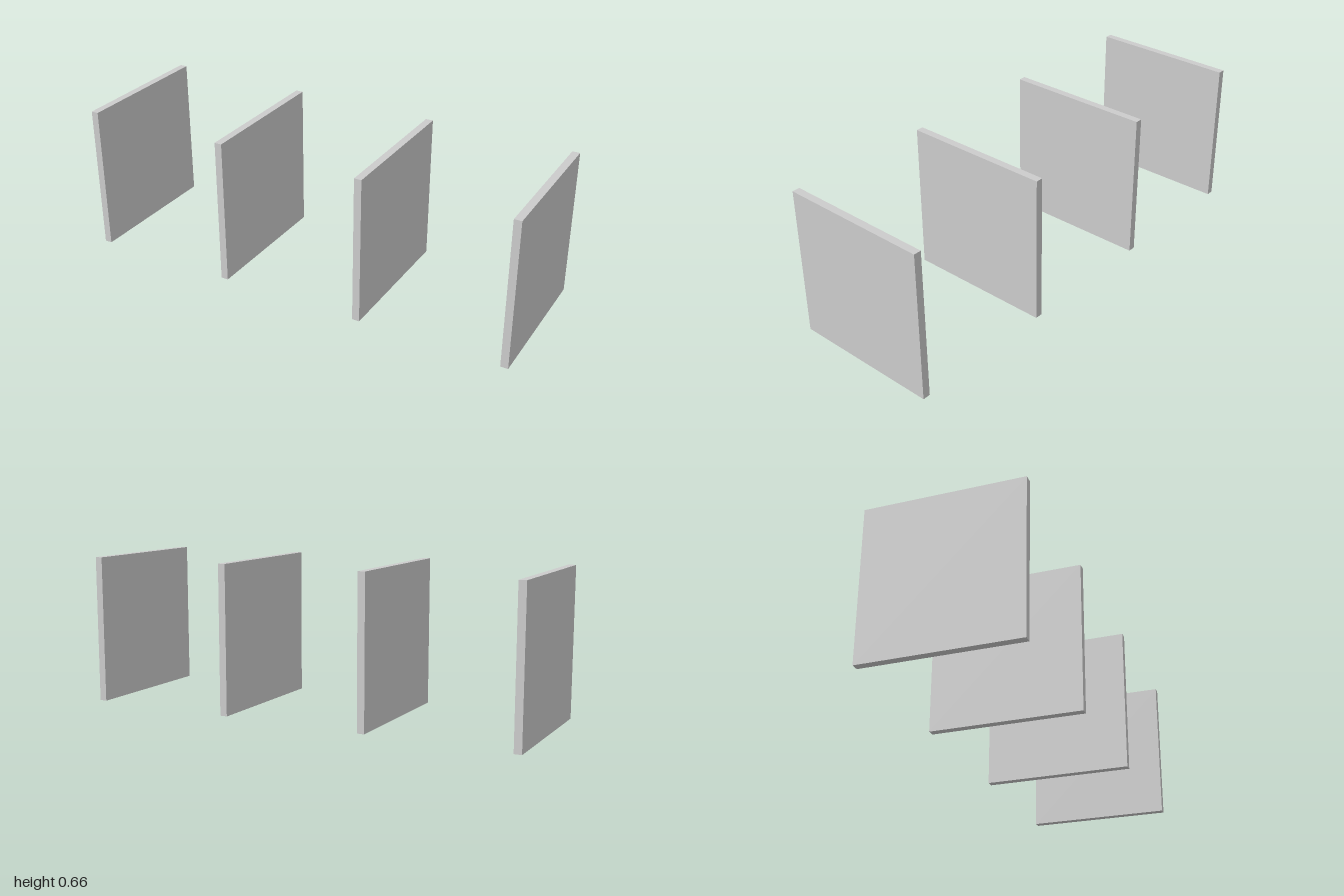
import * as THREE from 'three';

// Four identical square panels, spaced one panel side apart
const SIDE = 2 / 3.05;
const THICKNESS = SIDE / 20;
const COUNT = 4;

export function createModel() {
  const model = new THREE.Group();
  model.name = 'panelRow';

  const geometry = new THREE.BoxGeometry(THICKNESS, SIDE, SIDE);
  const material = new THREE.MeshStandardMaterial({ color: 0xcccccc });

  // Upright panels, from the model's right to its left
  for (let i = 0; i < COUNT; i++) {
    const panel = new THREE.Mesh(geometry, material);
    panel.name = `panel${i + 1}`;
    panel.position.set((i - (COUNT - 1) / 2) * SIDE, SIDE / 2, 0);
    model.add(panel);
  }
  return model;
}
